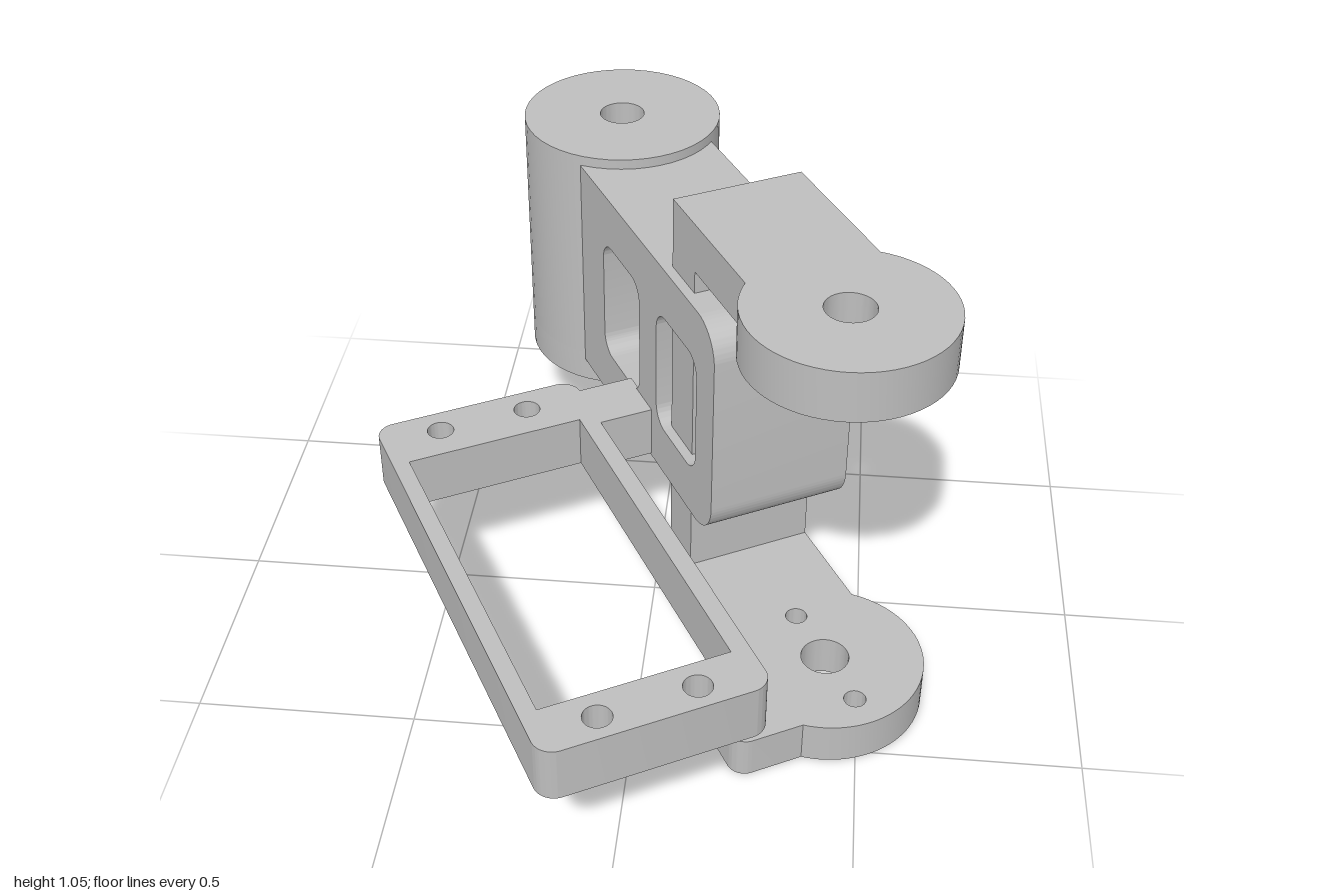
import * as THREE from 'three';
import { toCreasedNormals } from 'three/addons/utils/BufferGeometryUtils.js';

const AXIS_X = 0.224;   // centre line shared by barrel, body and bracket
const BARREL_Z = -0.74;
const DISC_Z = 0.471;
const DISC_R = 0.225;

// Rounded rectangle; r holds the radii of corners (x0,y0), (x1,y0), (x1,y1), (x0,y1)
function rect(x0, y0, x1, y1, r = [0, 0, 0, 0], Type = THREE.Shape) {
  const s = new Type();
  const [a, b, c, d] = Array.isArray(r) ? r : [r, r, r, r];
  s.moveTo(x0 + a, y0);
  s.lineTo(x1 - b, y0);
  if (b) s.absarc(x1 - b, y0 + b, b, -Math.PI / 2, 0);
  s.lineTo(x1, y1 - c);
  if (c) s.absarc(x1 - c, y1 - c, c, 0, Math.PI / 2);
  s.lineTo(x0 + d, y1);
  if (d) s.absarc(x0 + d, y1 - d, d, Math.PI / 2, Math.PI);
  s.lineTo(x0, y0 + a);
  if (a) s.absarc(x0 + a, y0 + a, a, Math.PI, Math.PI * 1.5);
  return s;
}

function circle(x, y, r, Type = THREE.Path) {
  const s = new Type();
  s.absarc(x, y, r, 0, Math.PI * 2);
  return s;
}

function extrude(shape, depth) {
  return new THREE.ExtrudeGeometry(shape, { depth, bevelEnabled: false, curveSegments: 24 });
}

// Plan outline (x, z) raised from y0 to y1
function plate(shape, y0, y1) {
  return extrude(shape, y1 - y0).rotateX(Math.PI / 2).translate(0, y1, 0);
}

// Side outline (z, y) carried from x0 to x1
function sidePlate(shape, x0, x1) {
  return extrude(shape, x1 - x0).rotateY(-Math.PI / 2).translate(x1, 0, 0);
}

// Bracket arm: straight neck ending in a disc, optionally with a square tab
function armOutline(withTab) {
  const a = Math.acos(0.155 / DISC_R);
  const s = new THREE.Shape();
  s.moveTo(AXIS_X - 0.155, -0.06);
  s.lineTo(AXIS_X + 0.155, -0.06);
  if (withTab) {
    s.absarc(AXIS_X, DISC_Z, DISC_R, -a, 2.256);
    s.lineTo(-0.04, 0.645);
    s.absarc(-0.04, 0.605, 0.04, Math.PI / 2, Math.PI);
    s.lineTo(-0.08, 0.4);
    s.absarc(AXIS_X, DISC_Z, DISC_R, 3.463, Math.PI + a);
    s.holes.push(circle(-0.027, 0.572, 0.034));
    for (const dz of [-0.147, 0.147]) s.holes.push(circle(AXIS_X, DISC_Z + dz, 0.025));
  } else {
    s.absarc(AXIS_X, DISC_Z, DISC_R, -a, Math.PI + a);
  }
  s.holes.push(circle(AXIS_X, DISC_Z, 0.055));
  return s;
}

// Barrel section with a central bore and optional screw holes
function barrelOutline(r, screws) {
  const s = circle(AXIS_X, BARREL_Z, r, THREE.Shape);
  s.holes.push(circle(AXIS_X, BARREL_Z, 0.055));
  if (screws) {
    for (const dz of [-0.147, 0.147]) s.holes.push(circle(AXIS_X, BARREL_Z + dz, 0.025));
  }
  return s;
}

export function createModel() {
  const model = new THREE.Group();
  model.name = 'jointBracketAssembly';
  const assembly = new THREE.Group();
  assembly.name = 'assembly';
  assembly.rotation.y = 0.499;
  model.add(assembly);

  const grey = new THREE.MeshStandardMaterial({ color: 0xbebebe });
  grey.name = 'plain grey';
  const add = (name, geometry) => {
    const mesh = new THREE.Mesh(toCreasedNormals(geometry, 0.5), grey);
    mesh.name = name;
    assembly.add(mesh);
  };

  // Rear barrel: main cylinder, screw-hole layer and slightly smaller bottom lip
  add('barrel', plate(barrelOutline(0.245, false), 0.33, 0.905));
  add('barrelBase', plate(barrelOutline(0.245, true), 0.248, 0.33));
  add('barrelLip', plate(barrelOutline(0.225, true), 0.24, 0.248));

  // Main body with two rounded windows and a rounded front
  const body = rect(-0.57, 0.31, 0.222, 0.88, [0, 0.09, 0.09, 0]);
  for (const [z0, z1] of [[-0.425, -0.2], [-0.097, 0.13]]) {
    body.holes.push(rect(z0, 0.437, z1, 0.752, 0.05, THREE.Path));
  }
  add('body', sidePlate(body, 0.045, 0.388));

  // C-shaped bracket: upright through the body, upper and lower arms
  add('bracketUpright', plate(rect(AXIS_X - 0.155, -0.06, AXIS_X + 0.155, 0.06), 0.1, 0.935));
  add('upperArm', plate(armOutline(false), 0.935, 1.052));
  add('lowerArm', plate(armOutline(true), 0, 0.1));

  // Small cable clip on the side of the body
  const clip = rect(0.36, 0.75, 0.5, 0.905, 0.025);
  clip.holes.push(circle(0.443, 0.828, 0.045));
  add('cableClip', extrude(clip, 0.134).translate(0, 0, -0.103));

  // Open mounting frame with four screw holes, joined to the body
  const frame = rect(-0.585, -0.31, -0.085, 0.82, 0.045);
  frame.holes.push(rect(-0.546, -0.155, -0.127, 0.7, 0, THREE.Path));
  for (const x of [-0.443, -0.228]) {
    for (const z of [-0.243, 0.763]) frame.holes.push(circle(x, z, 0.031));
  }
  add('mountingFrame', plate(frame, 0.317, 0.447));
  add('frameConnector', plate(rect(-0.087, -0.265, 0.05, -0.125), 0.317, 0.447));

  return model;
}
